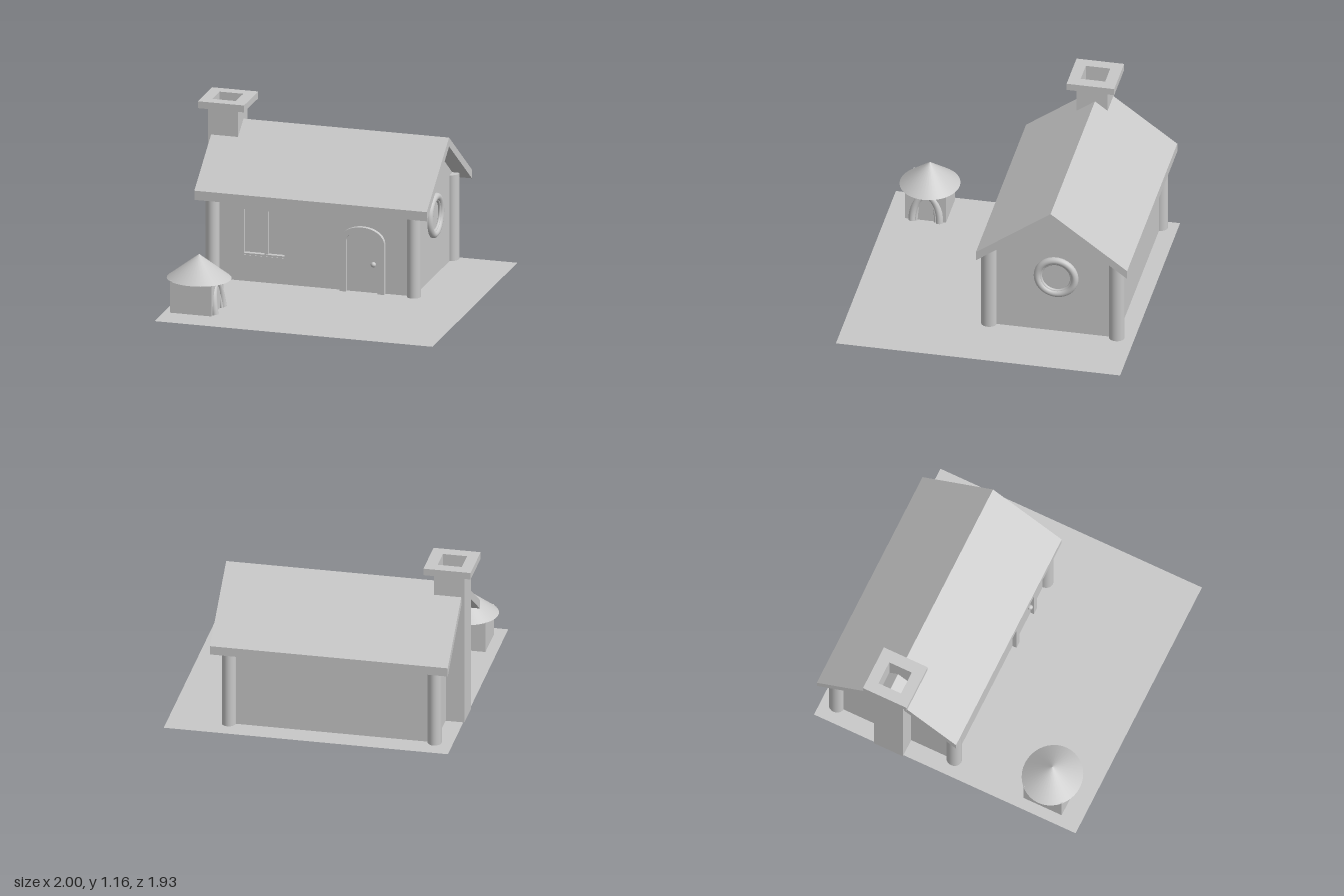
import * as THREE from 'three';

export function createModel() {
  const root = new THREE.Group();
  root.name = 'cottage';
  const grey = new THREE.MeshStandardMaterial({ color: 0xc8c8c8 });
  grey.name = 'stone grey';
  const greyOpen = new THREE.MeshStandardMaterial({ color: 0xc8c8c8, side: THREE.DoubleSide });
  greyOpen.name = 'stone grey two-sided';

  const add = (name, geometry, x = 0, y = 0, z = 0, material = grey) => {
    const mesh = new THREE.Mesh(geometry, material);
    mesh.name = name;
    mesh.position.set(x, y, z);
    root.add(mesh);
    return mesh;
  };
  // Box given by its two extreme corners
  const box = (name, x0, x1, y0, y1, z0, z1) =>
    add(name, new THREE.BoxGeometry(x1 - x0, y1 - y0, z1 - z0),
      (x0 + x1) / 2, (y0 + y1) / 2, (z0 + z1) / 2);
  const polygon = (points) => new THREE.Shape(points.map((p) => new THREE.Vector2(...p)));
  const rect = (x0, x1, y0, y1) => polygon([[x0, y0], [x1, y0], [x1, y1], [x0, y1]]);
  const extrude = (shape, depth) =>
    new THREE.ExtrudeGeometry(shape, { depth, bevelEnabled: false, curveSegments: 24 });
  // Extrude a [z, y] profile along x
  const alongX = (name, profile, x0, x1) =>
    add(name, extrude(polygon(profile.map(([z, y]) => [-z, y])), x1 - x0).rotateY(Math.PI / 2), x0);

  const base = 0.024;

  // Ground sheet
  add('ground', new THREE.PlaneGeometry(1.93, 1.93).rotateX(-Math.PI / 2), 0.035, 0, 0, greyOpen);

  // House body and front wall with the window opening
  alongX('houseBody', [
    [-0.02, base], [-0.02, 0.645], [-0.427, 0.945], [-0.855, 0.627], [-0.855, base],
  ], -0.82, 0.58);
  const wall = rect(-0.82, 0.58, base, 0.625);
  wall.holes.push(rect(-0.615, -0.305, 0.205, 0.535));
  add('frontWall', extrude(wall, 0.035), 0, 0, -0.02);

  // Gable roof
  alongX('roof', [
    [0.08, 0.577], [0.08, 0.641], [-0.427, 1.007], [-0.947, 0.626], [-0.947, 0.565], [-0.427, 0.945],
  ], -0.925, 0.69);

  // Corner posts
  for (const x of [-0.817, 0.581]) {
    for (const z of [0.014, -0.853]) {
      const post = add('cornerPost', new THREE.CylinderGeometry(0.047, 0.047, 0.597, 32), x, base + 0.2985, z);
      post.scale.z = 1.12;
    }
  }

  // Hollow chimney and its cap
  const flue = (name, x0, x1, z0, z1, y0, y1) => {
    const shape = rect(x0, x1, -z1, -z0);
    shape.holes.push(rect(-0.924, -0.76, 0.326, 0.492));
    add(name, extrude(shape, y1 - y0).rotateX(-Math.PI / 2), 0, y0);
  };
  flue('chimney', -0.946, -0.738, -0.513, -0.302, 0.02, 1.11);
  flue('chimneyCap', -1, -0.68, -0.57, -0.247, 1.11, 1.158);

  // Window frame and mullion inside the opening
  const frame = rect(-0.615, -0.305, 0.205, 0.535);
  frame.holes.push(rect(-0.602, -0.318, 0.218, 0.522));
  add('windowFrame', extrude(frame, 0.032), 0, 0, -0.02);
  box('windowMullion', -0.46, -0.435, 0.218, 0.522, -0.021, 0.005);

  // Door with an elliptical arch
  const arch = (cx, halfWidth, spring, rise, foot) => {
    const s = new THREE.Shape();
    s.moveTo(cx + halfWidth, foot);
    s.lineTo(cx + halfWidth, spring);
    s.absellipse(cx, spring, halfWidth, rise, 0, Math.PI, false, 0);
    s.lineTo(cx - halfWidth, foot);
    s.closePath();
    return s;
  };
  const inner = arch(0.227, 0.11, 0.375, 0.075, base);
  const doorFrame = new THREE.Shape([
    ...arch(0.227, 0.155, 0.375, 0.105, base).getPoints(24),
    ...inner.getPoints(24).slice(0, -1).reverse(),
  ]);
  add('doorFrame', extrude(doorFrame, 0.035), 0, 0, 0.01);
  add('door', extrude(inner, 0.01), 0, 0, 0.01);
  add('doorKnob', new THREE.SphereGeometry(0.018, 20, 14), 0.305, 0.225, 0.034);

  // Round gable window: outer ring and thinner inner ring
  for (const [name, radius, tube] of [['roundWindowFrame', 0.127, 0.025], ['roundWindowRim', 0.106, 0.011]]) {
    add(name, new THREE.TorusGeometry(radius, tube, 16, 48).rotateY(Math.PI / 2), 0.587, 0.45, -0.443);
  }

  // Small hut in the yard
  box('hutBody', -0.863, -0.577, base, 0.245, 0.55, 0.83);
  const cone = add('hutRoof', new THREE.ConeGeometry(0.217, 0.165, 40), -0.706, 0.3225, 0.686);
  cone.scale.z = 0.93;

  // Rounded hut archways, leaning back toward the top
  for (const [name, halfWidth, rise, tube, foot] of [
    ['hutArch', 0.094, 0.185, 0.024, -0.567], ['hutArchRim', 0.068, 0.15, 0.012, -0.572],
  ]) {
    const points = [];
    for (let i = 0; i <= 16; i++) {
      const a = (i / 16) * Math.PI;
      points.push(new THREE.Vector3(
        foot - 0.025 * Math.sin(a), base + rise * Math.sin(a), 0.686 + halfWidth * Math.cos(a)));
    }
    add(name, new THREE.TubeGeometry(new THREE.CatmullRomCurve3(points), 40, tube, 14), 0, 0, 0, greyOpen);
  }

  return root;
}
